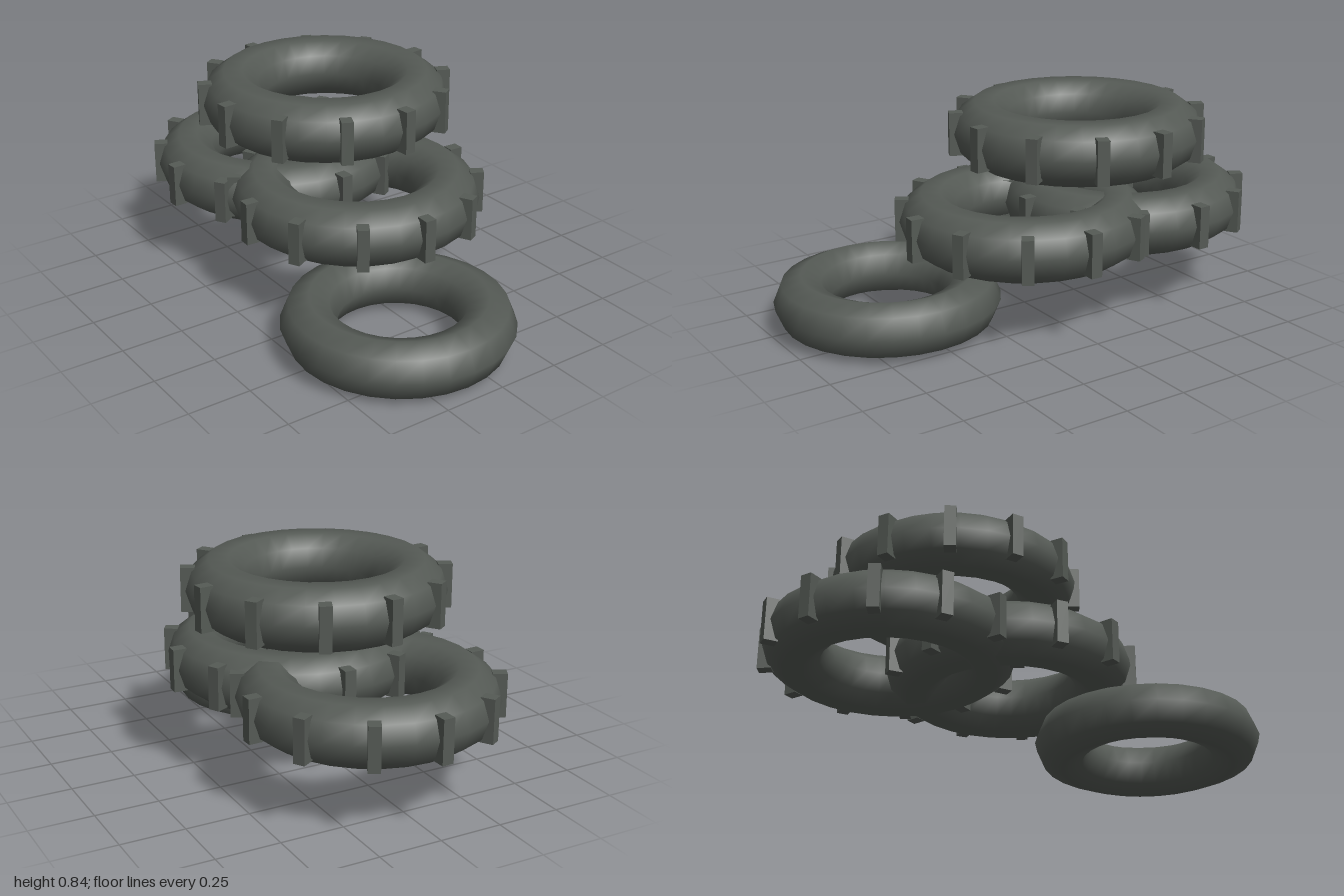
import * as THREE from 'three';

const rubber = new THREE.MeshStandardMaterial({ color: 0x555a55 });
rubber.name = 'dark rubber';

// Ring lying flat
function makeRing(name, radius, tube, sides) {
  const geometry = new THREE.TorusGeometry(radius, tube, sides, 28);
  geometry.rotateX(-Math.PI / 2);
  const mesh = new THREE.Mesh(geometry, rubber);
  mesh.name = name;
  return mesh;
}

// Chunky tyre with twelve lugs around its rim
function makeTyre(name, x, y, z, turnDegrees) {
  const tyre = new THREE.Group();
  tyre.name = name;
  tyre.add(makeRing('tyreBody', 0.37, 0.1235, 10));
  const lugGeometry = new THREE.BoxGeometry(0.055, 0.172, 0.046);
  for (let i = 0; i < 12; i++) {
    const a = (i / 12) * Math.PI * 2;
    const lug = new THREE.Mesh(lugGeometry, rubber);
    lug.name = 'treadLug';
    lug.position.set(Math.cos(a) * 0.483, 0, Math.sin(a) * 0.483);
    lug.rotation.y = -a;
    tyre.add(lug);
  }
  tyre.position.set(x, y, z);
  tyre.rotation.y = -THREE.MathUtils.degToRad(turnDegrees);
  return tyre;
}

export function createModel() {
  const model = new THREE.Group();
  model.name = 'tyrePile';

  // Smooth tyre on the ground
  const smoothTyre = makeRing('smoothTyre', 0.335, 0.109, 8);
  smoothTyre.position.set(0.555, 0.11, 0.132);
  model.add(smoothTyre);

  // Treaded tyres stacked above
  model.add(makeTyre('leftTyre', -0.49, 0.372, 0, -1.8));
  model.add(makeTyre('rightTyre', 0.031, 0.384, -0.047, 2.4));
  model.add(makeTyre('topTyre', -0.208, 0.72, -0.065, -5));
  return model;
}
